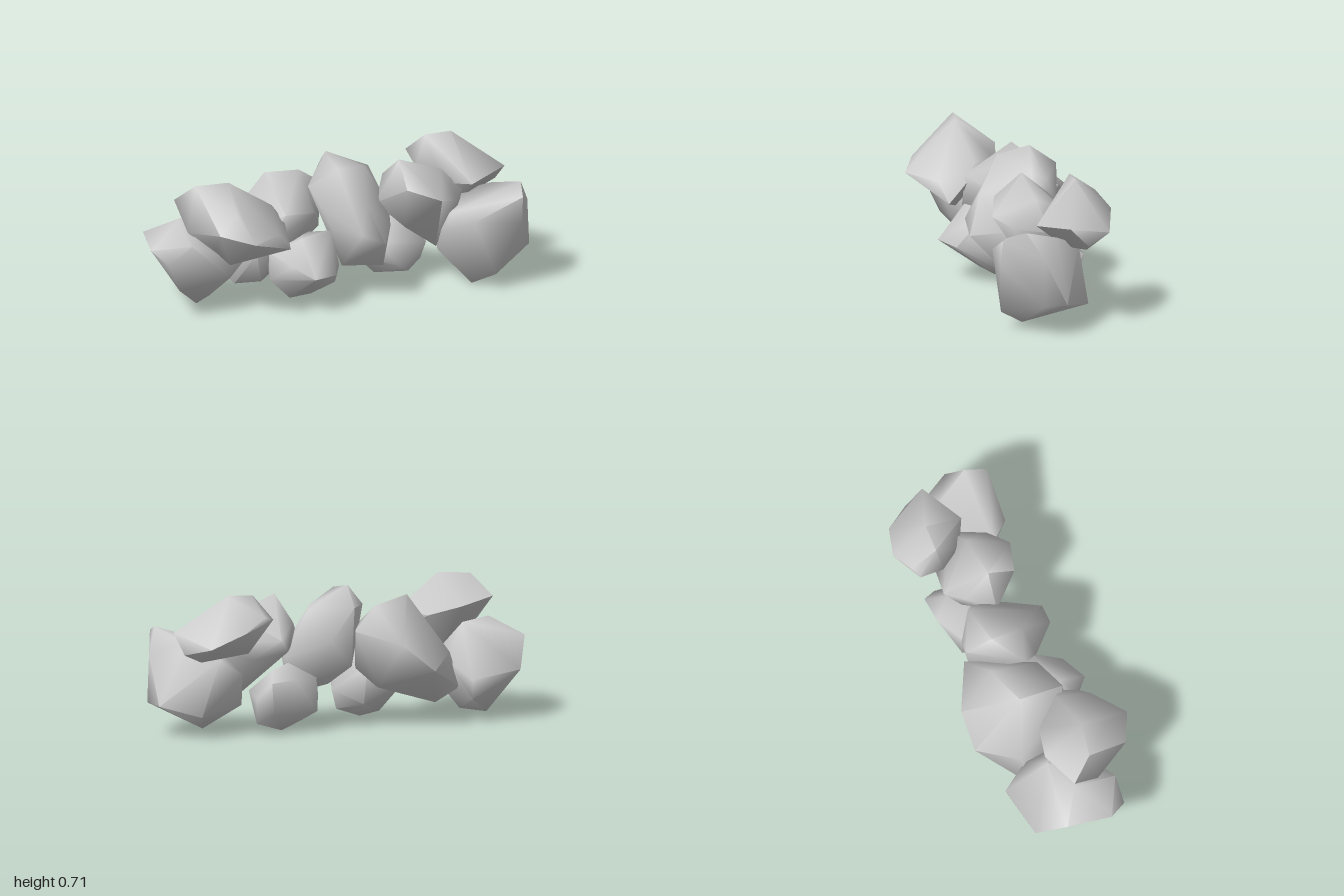
import * as THREE from 'three';
import { ConvexGeometry } from 'three/addons/geometries/ConvexGeometry.js';
import { toCreasedNormals } from 'three/addons/utils/BufferGeometryUtils.js';

const stone = new THREE.MeshStandardMaterial({ color: 0xcccccc });

// One boulder: the convex hull of a few corner points, softly shaded
function boulder(name, corners) {
  const hull = new ConvexGeometry(corners.map(c => new THREE.Vector3(...c)));
  const mesh = new THREE.Mesh(toCreasedNormals(hull, 1.5), stone);
  mesh.name = name;
  return mesh;
}

export function createModel() {
  const group = new THREE.Group();
  group.name = 'rockPile';
  group.add(
    // Right end: a large base rock with one resting on it
    boulder('rightBaseRock', [
      [-1, .385, 0], [-.95, .33, .1], [-.83, .42, .12], [-.94, .4, -.22], [-.84, .25, -.35],
      [-.56, .22, -.36], [-.5, .3, -.21], [-.86, .16, .04], [-.7, .035, -.25], [-.72, .035, -.06],
      [-.62, .04, -.12], [-.8, .49, -.1], [-.62, .48, -.15], [-.57, .12, -.34], [-.5, .25, .02],
      [-.6, .2, .08],
    ]),
    boulder('rightUpperRock', [
      [-.82, .59, -.11], [-.76, .695, .01], [-.6, .705, .06], [-.61, .56, -.16], [-.45, .52, -.1],
      [-.355, .54, .05], [-.31, .465, .1], [-.32, .35, .2], [-.59, .26, .06], [-.58, .46, .335],
      [-.73, .5, .24], [-.69, .375, .1], [-.81, .46, .03], [-.4, .45, .23], [-.45, .36, .2],
      [-.56, .39, .21], [-.62, .585, .2],
    ]),
    // Slanting rock at the back
    boulder('backRock', [
      [-.31, .645, -.13], [-.1, .61, -.17], [.05, .5, -.24], [-.15, .43, -.375], [-.32, .29, -.395],
      [-.2, .53, -.25], [-.5, .35, -.23], [-.56, .17, -.23], [-.48, .08, -.12], [-.38, .11, -.02],
      [-.31, .5, .12], [-.13, .47, .08], [0, .3, -.15], [-.1, .2, -.2], [-.4, .45, .05],
      [-.45, .3, .08],
    ]),
    // Centre of the pile
    boulder('frontSmallRock', [
      [-.39, .305, .1], [-.24, .37, .15], [-.05, .37, .1], [.015, .16, .06], [0, .065, .04],
      [-.13, .02, .03], [-.26, .03, .06], [-.39, .16, .1], [-.31, .25, .2], [-.23, .2, .295],
      [-.09, .19, .25], [-.05, .25, .17], [-.3, .2, -.12], [-.08, .1, -.1], [-.1, .3, -.1],
    ]),
    boulder('centreRock', [
      [-.135, .59, .01], [.015, .715, -.1], [0, .68, .07], [.2, .625, -.04], [.05, .62, -.23],
      [.25, .6, -.1], [.28, .48, 0], [.33, .36, -.02], [.23, .145, .12], [0, .18, .12],
      [-.055, .385, .12], [.165, .32, .28], [.05, .38, .26], [-.1, .5, .09], [.1, .52, .2],
      [.27, .35, .12], [.16, .45, -.19], [.05, .32, -.2], [.2, .25, -.13],
    ]),
    // Left half of the pile
    boulder('leftLeaningRock', [
      [.22, .455, .05], [.34, .675, .07], [.32, .55, -.08], [.42, .47, -.14], [.57, .59, .08],
      [.56, .38, -.1], [.7, .45, .05], [.6, .46, .21], [.48, .5, .28], [.32, .56, .21],
      [.54, .18, .08], [.38, .3, .06], [.35, .4, -.08], [.65, .35, .1],
    ]),
    boulder('leftSmallRock', [
      [.14, .16, -.02], [.22, .27, -.14], [.38, .28, -.205], [.51, .27, -.2], [.55, .18, -.12],
      [.54, .055, -.1], [.41, .015, -.12], [.26, .04, -.05], [.4, .06, .05], [.5, .2, .05],
      [.23, .24, .04], [.35, .1, .08], [.45, .32, -.1], [.33, .34, -.05], [.22, .1, -.15],
      [.48, .1, -.17],
    ]),
    boulder('leftUpperRock', [
      [.515, .6, -.22], [.565, .71, -.1], [.7, .715, -.08], [.57, .615, -.235], [.7, .55, -.27],
      [.86, .47, -.2], [.935, .43, -.06], [.94, .53, .04], [.715, .5, .135], [.59, .5, .05],
      [.51, .55, -.09], [.85, .39, -.08], [.75, .39, 0], [.6, .42, -.12],
    ]),
    boulder('leftBaseRock', [
      [.88, .49, .38], [.92, .53, .27], [.85, .47, .08], [.74, .39, -.08], [.85, .11, -.09],
      [.68, 0, .2], [.75, .085, .34], [.87, .36, .39], [1, .155, .08], [1, .16, .2],
      [.99, .4, .2], [.56, .41, .23], [.53, .29, .18], [.54, .17, .1], [.6, .3, -.06],
      [.63, .38, .34], [.6, .15, -.05],
    ]),
  );
  return group;
}
